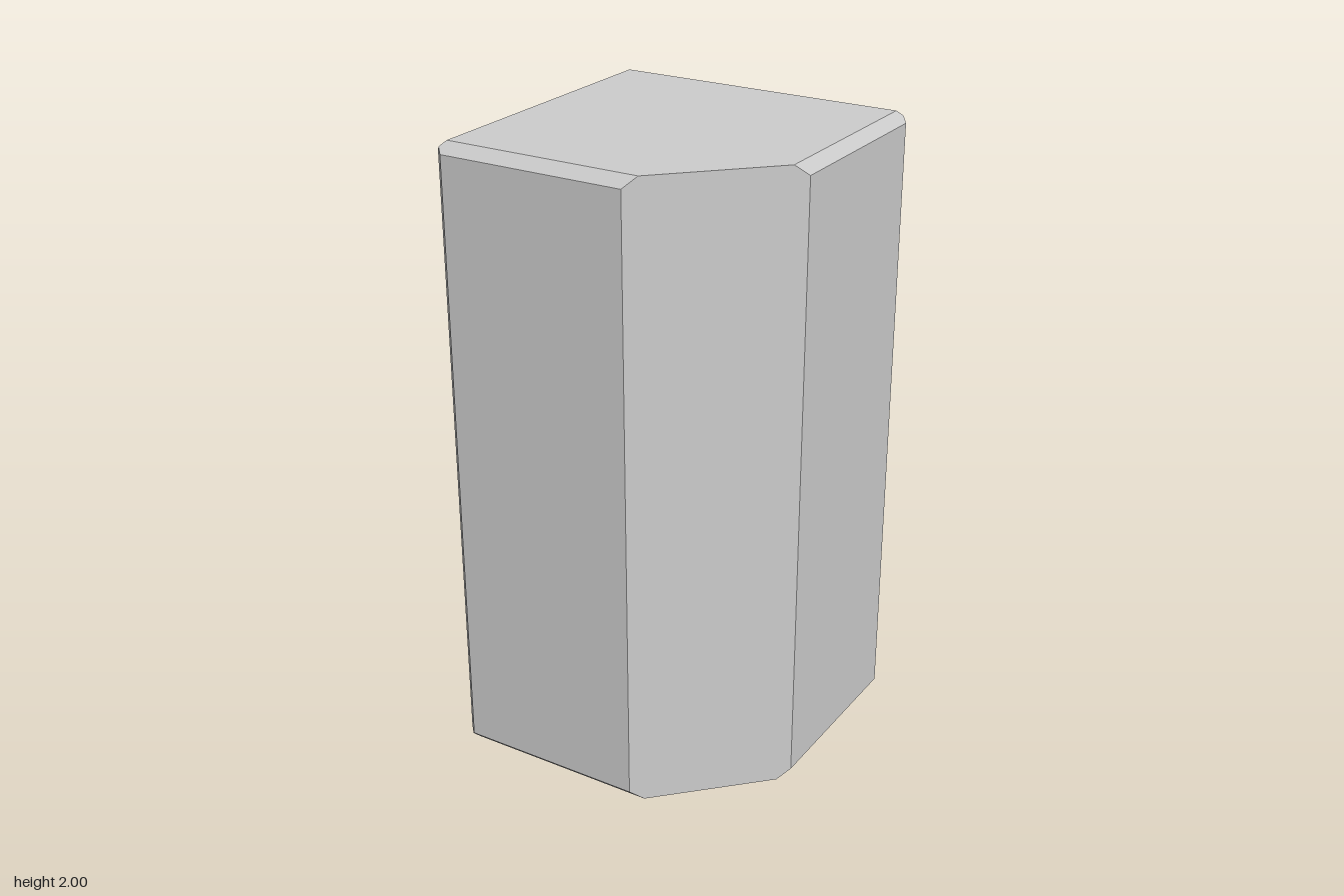
import * as THREE from 'three';
import { ConvexGeometry } from 'three/addons/geometries/ConvexGeometry.js';

const HALF = 0.5;      // half width and depth
const HEIGHT = 2;
const BEVEL = 0.033;   // chamfer on every box edge
const CUT = 0.133;     // where the vertical corner cut meets the side faces

// Mitred chamfer points around one box corner
function bevelledCorner(sx, sy, sz) {
  const place = (dx, dy, dz) =>
    new THREE.Vector3(sx * (HALF - dx), sy * (HEIGHT / 2 - dy), sz * (HALF - dz));
  return [
    place(0, BEVEL, BEVEL),
    place(BEVEL, 0, BEVEL),
    place(BEVEL, BEVEL, 0),
    place(BEVEL / 2, BEVEL / 2, BEVEL / 2),
  ];
}

// End of the large flat cut, crossing the chamfers of both neighbouring sides
function cutCorner(sy) {
  const top = sy * HEIGHT / 2;
  const low = sy * (HEIGHT / 2 - BEVEL);
  const inner = HALF - BEVEL;
  return [
    new THREE.Vector3(HALF, low, CUT),
    new THREE.Vector3(inner, top, CUT + BEVEL),
    new THREE.Vector3(CUT + BEVEL, top, inner),
    new THREE.Vector3(CUT, low, HALF),
  ];
}

export function createModel() {
  const group = new THREE.Group();
  group.name = 'cutCornerBlock';

  const points = [];
  for (const sy of [-1, 1]) {
    for (const sx of [-1, 1]) {
      for (const sz of [-1, 1]) {
        const isCut = sx > 0 && sz > 0;
        points.push(...(isCut ? cutCorner(sy) : bevelledCorner(sx, sy, sz)));
      }
    }
  }

  // Block
  const material = new THREE.MeshStandardMaterial({ color: 0xcccccc, flatShading: true });
  const block = new THREE.Mesh(new ConvexGeometry(points), material);
  block.name = 'block';
  block.position.y = HEIGHT / 2;
  group.add(block);
  return group;
}
